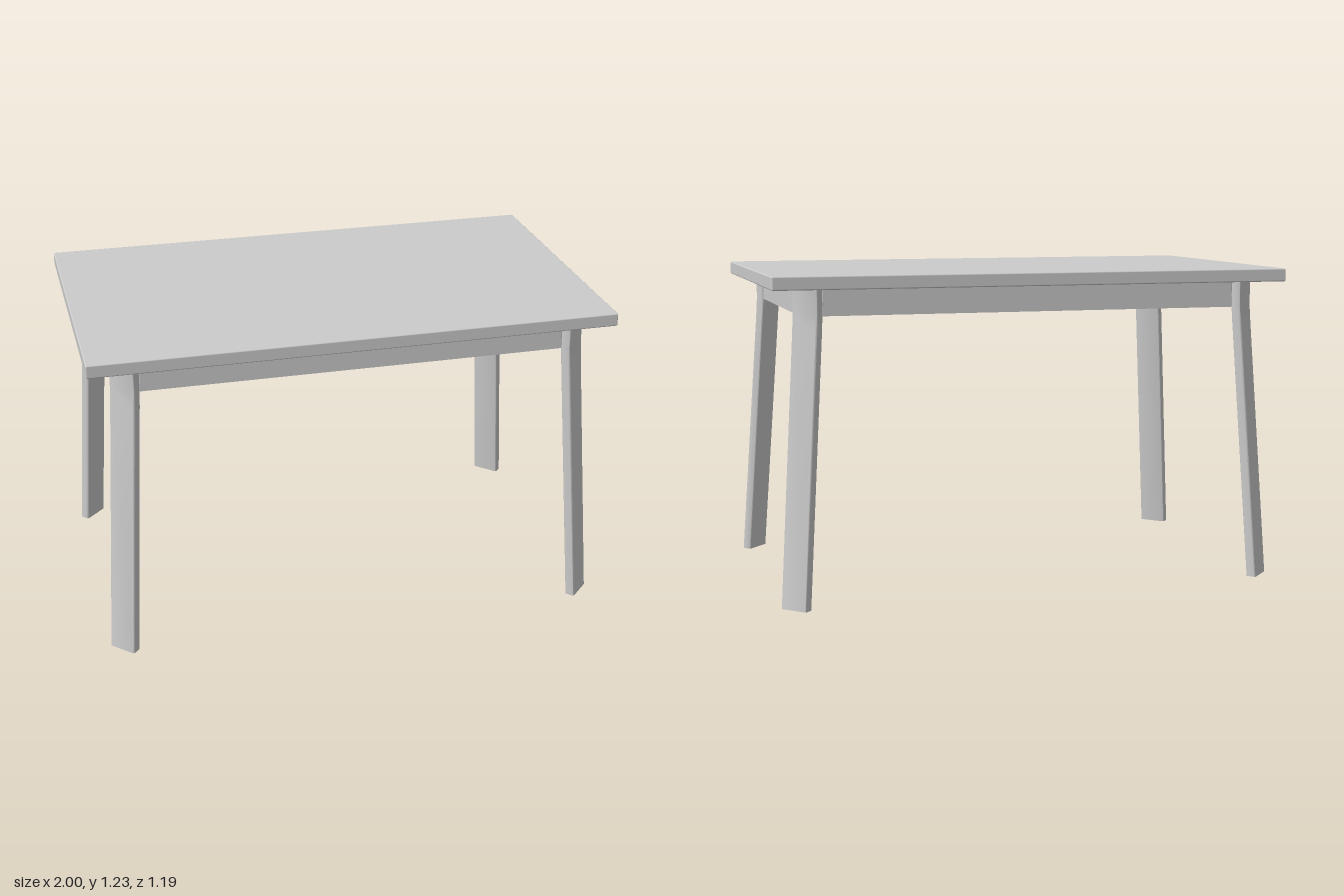
import * as THREE from 'three';
import { toCreasedNormals } from 'three/addons/utils/BufferGeometryUtils.js';
import { RoundedBoxGeometry } from 'three/addons/geometries/RoundedBoxGeometry.js';

const material = new THREE.MeshStandardMaterial({ color: 0xcccccc });
const TOP_BOTTOM = 1.175;

function addMesh(parent, name, geometry) {
  const mesh = new THREE.Mesh(geometry, material);
  mesh.name = name;
  parent.add(mesh);
  return mesh;
}

function roundedRect(w, h, r) {
  const x = w / 2, y = h / 2;
  const s = new THREE.Shape();
  s.moveTo(-x + r, -y);
  s.lineTo(x - r, -y);
  s.quadraticCurveTo(x, -y, x, -y + r);
  s.lineTo(x, y - r);
  s.quadraticCurveTo(x, y, x - r, y);
  s.lineTo(-x + r, y);
  s.quadraticCurveTo(-x, y, -x, y - r);
  s.lineTo(-x, -y + r);
  s.quadraticCurveTo(-x, -y, -x + r, -y);
  return s;
}

// Rectangle with corners cut at 45 degrees, as a list of points
function cutRect(x, z, c) {
  return [[x - c, -z], [x, -z + c], [x, z - c], [x - c, z],
    [-x + c, z], [-x, z - c], [-x, -z + c], [-x + c, -z]]
    .map(([a, b]) => new THREE.Vector2(a, b));
}

// Flat board set diagonally across a corner: upright at the top, splayed below
function legGeometry(sx, sz, top, foot, footY) {
  const rings = [
    [foot[0], footY, foot[1]],
    [top[0] + 0.003, 1.02, top[1] + 0.003],
    [top[0], 1.08, top[1]],
    [top[0], TOP_BOTTOM, top[1]],
  ];
  const geo = new THREE.ExtrudeGeometry(roundedRect(0.112, 0.038, 0.008), {
    depth: 3, steps: 3, bevelEnabled: false, curveSegments: 4,
  });
  const pos = geo.attributes.position;
  for (let i = 0; i < pos.count; i++) {
    const [cx, cy, cz] = rings[Math.round(pos.getZ(i))];
    const along = pos.getX(i) * Math.SQRT1_2, out = pos.getY(i) * Math.SQRT1_2;
    pos.setXYZ(i, sx * cx - sz * along + sx * out, cy, sz * cz + sx * along + sz * out);
  }
  return toCreasedNormals(geo, 0.6);
}

export function createModel() {
  const table = new THREE.Group();
  table.name = 'table';

  // Table top
  addMesh(table, 'tableTop', new RoundedBoxGeometry(2, 0.05, 1.17, 2, 0.005))
    .position.set(0, 1.2, -0.003);

  // Apron frame with cut corners that meet the legs
  const frame = new THREE.Shape(cutRect(0.883, 0.513, 0.078));
  frame.holes.push(new THREE.Path(cutRect(0.853, 0.483, 0.066)));
  const apron = new THREE.ExtrudeGeometry(frame, { depth: 0.1, bevelEnabled: false });
  apron.rotateX(-Math.PI / 2);
  addMesh(table, 'apron', apron).position.y = 1.075;

  // Legs: side, front/back, foot centre, foot height
  const legs = [
    ['frontLeftLeg', 1, 1, [0.928, 0.547], 0],
    ['backLeftLeg', 1, -1, [0.926, 0.547], 0],
    ['frontRightLeg', -1, 1, [0.92, 0.537], 0.008],
    ['backRightLeg', -1, -1, [0.92, 0.547], 0.008],
  ];
  for (const [name, sx, sz, foot, footY] of legs) {
    addMesh(table, name, legGeometry(sx, sz, [0.857, 0.488], foot, footY));
  }
  return table;
}
